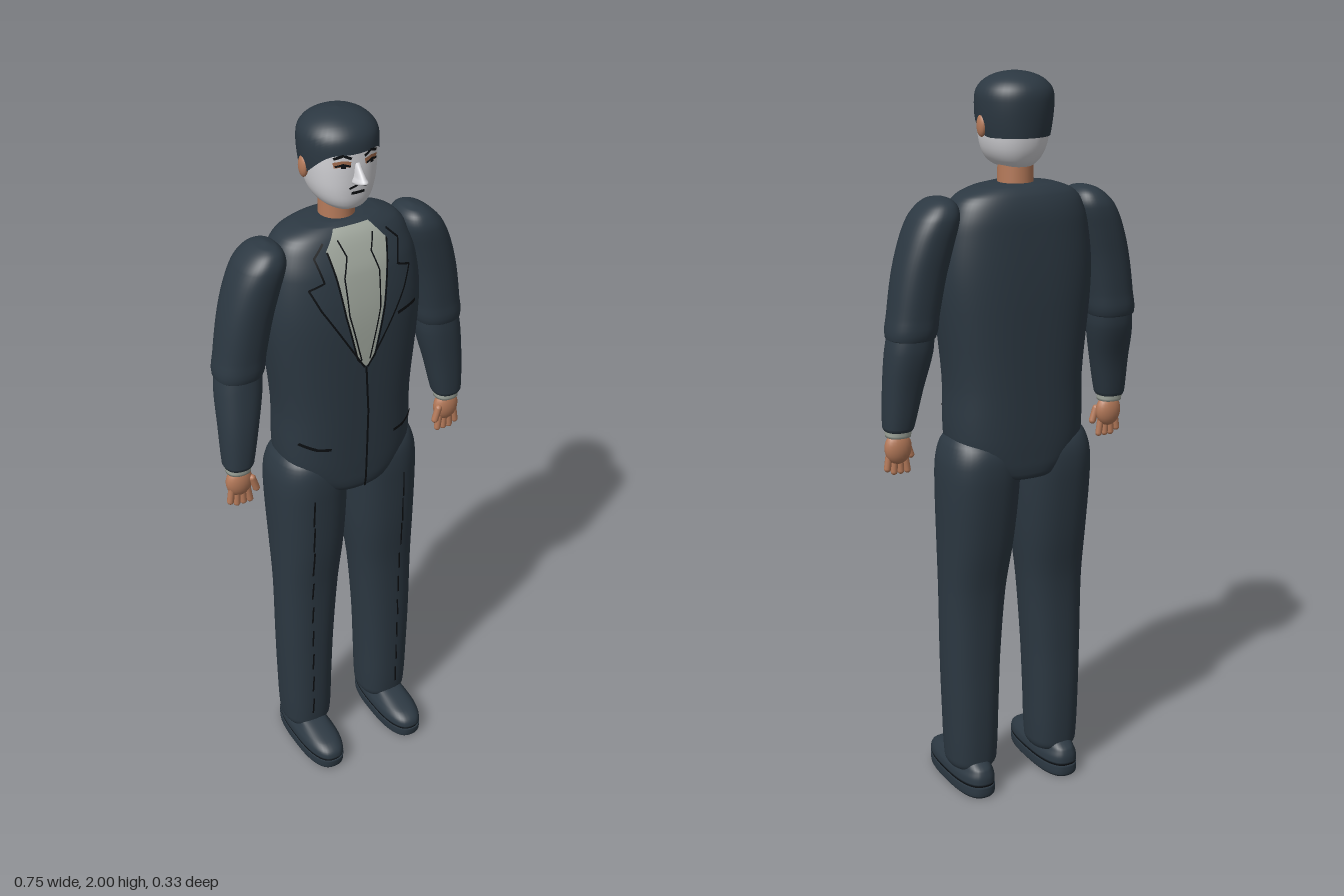
import * as THREE from 'three';

const mat = (name, color, side = THREE.FrontSide) => {
  const m = new THREE.MeshStandardMaterial({ color, side });
  m.name = name;
  return m;
};

// A body is a list of sections [y, xMin, xMax, zBack, zFront]; this returns a smooth lookup by height.
function profile(secs, n = 2.3) {
  const slope = (i, k) => {
    const a = secs[Math.max(i - 1, 0)], b = secs[Math.min(i + 1, secs.length - 1)];
    return (b[k] - a[k]) / (b[0] - a[0]);
  };
  const at = (y) => {
    let i = 0;
    while (i < secs.length - 2 && y > secs[i + 1][0]) i++;
    const a = secs[i], b = secs[i + 1], h = b[0] - a[0];
    const t = THREE.MathUtils.clamp((y - a[0]) / h, 0, 1), t2 = t * t, t3 = t2 * t;
    const v = [1, 2, 3, 4].map((k) => (2 * t3 - 3 * t2 + 1) * a[k] + (3 * t2 - 2 * t3) * b[k]
      + h * ((t3 - 2 * t2 + t) * slope(i, k) + (t3 - t2) * slope(i + 1, k)));
    return { cx: (v[0] + v[1]) / 2, rx: Math.max((v[1] - v[0]) / 2, 0.001), cz: (v[2] + v[3]) / 2, rz: Math.max((v[3] - v[2]) / 2, 0.001) };
  };
  const pow = (c) => Math.sign(c) * Math.abs(c) ** (2 / n);
  const point = (a, y) => {
    const s = at(y);
    return [s.cx + s.rx * pow(Math.sin(a)), y, s.cz + s.rz * pow(Math.cos(a))];
  };
  const front = (x, y) => {
    const s = at(y), d = Math.min(Math.abs((x - s.cx) / s.rx), 1);
    return s.cz + s.rz * (1 - d ** n) ** (1 / n);
  };
  return { secs, point, front };
}

// Closed skin around a profile; floor(angle) can raise the lower edge.
function loft(p, floor = null, seg = 40, sub = 4) {
  const pos = [], idx = [], ys = [], S = p.secs;
  for (let i = 0; i < S.length - 1; i++)
    for (let k = 0; k < sub; k++) ys.push(S[i][0] + (S[i + 1][0] - S[i][0]) * k / sub);
  const y0 = S[0][0], y1 = S[S.length - 1][0];
  ys.push(y1);
  ys.forEach((y, r) => {
    for (let j = 0; j < seg; j++) {
      const a = j / seg * Math.PI * 2;
      const f = floor ? floor(a) : y0;
      pos.push(...p.point(a, f + (y - y0) / (y1 - y0) * (y1 - f)));
      if (r) {
        const A = (r - 1) * seg + j, B = (r - 1) * seg + (j + 1) % seg;
        idx.push(A, B, B + seg, A, B + seg, A + seg);
      }
    }
  });
  const last = (ys.length - 1) * seg, c = pos.length / 3;
  const mid = (y) => [0, 1, 2].map((k) => (p.point(Math.PI / 4, y)[k] + p.point(Math.PI * 5 / 4, y)[k]) / 2);
  pos.push(...mid(y0), ...mid(y1));
  for (let j = 0; j < seg; j++) {
    const k = (j + 1) % seg;
    if (!floor) idx.push(c, k, j);
    idx.push(c + 1, last + j, last + k);
  }
  return build(pos, idx);
}

function build(pos, idx) {
  const g = new THREE.BufferGeometry();
  g.setAttribute('position', new THREE.Float32BufferAttribute(pos, 3));
  g.setIndex(idx);
  g.computeVertexNormals();
  return g;
}

// Grid of points, n across, joined into a sheet.
function sheet(rows) {
  const n = rows[0].length, idx = [];
  for (let r = 0; r < rows.length - 1; r++)
    for (let j = 0; j < n - 1; j++) {
      const a = r * n + j;
      idx.push(a, a + 1, a + n + 1, a, a + n + 1, a + n);
    }
  return build(rows.flat(2), idx);
}

// Thin panel on the front of a body, rows [y, xLeft, xRight] from low to high.
function panel(p, rows, off, s = 1) {
  const out = [];
  for (let i = 0; i < rows.length - 1; i++)
    for (let k = i ? 1 : 0; k <= 6; k++) {
      const [y, l, r] = [0, 1, 2].map((m) => THREE.MathUtils.lerp(rows[i][m], rows[i + 1][m], k / 6));
      out.push(Array.from({ length: 9 }, (_, j) => {
        const x = s * (l + (r - l) * j / 8);
        return [x, y, p.front(x, y) + off];
      }));
    }
  return sheet(s > 0 ? out : out.map((r) => r.reverse()));
}

// Thin painted line on the front of a body, along points [x, y].
function line(p, pts, w, off, s = 1) {
  const rows = [];
  for (let i = 0; i < pts.length - 1; i++) {
    const [ax, ay] = pts[i], [bx, by] = pts[i + 1], L = Math.hypot(bx - ax, by - ay);
    const nx = -(by - ay) / L * w / 2, ny = (bx - ax) / L * w / 2;
    for (let k = 0; k <= 8; k++) {
      const x = ax + (bx - ax) * k / 8, y = ay + (by - ay) * k / 8;
      rows.push([-1, 1].map((e) => [s * (x + e * nx), y + e * ny, p.front(s * (x + e * nx), y + e * ny) + off]));
    }
  }
  return sheet(rows);
}

export function createModel() {
  const suit = mat('suit', 0x2c3842), skin = mat('skin', 0xb57a5a), face = mat('facePaint', 0xd2d2d6);
  const shirt = mat('shirt', 0xa3aaa0, THREE.DoubleSide), ink = mat('ink', 0x0b0e11, THREE.DoubleSide);
  const flap = mat('lapel', 0x2c3842, THREE.DoubleSide), lid = mat('eyelid', 0xa06a4c, THREE.DoubleSide);
  const root = new THREE.Group();
  const add = (name, geo, m, parent = root) => {
    const o = new THREE.Mesh(geo, m);
    o.name = name;
    parent.add(o);
    return o;
  };

  // Jacket body
  const torso = profile([
    [0.93, -0.07, 0.07, -0.12, 0.05], [0.938, -0.1, 0.1, -0.15, 0.07], [0.96, -0.14, 0.14, -0.16, 0.08],
    [1.0, -0.178, 0.178, -0.163, 0.083], [1.06, -0.192, 0.192, -0.165, 0.085], [1.2, -0.192, 0.192, -0.166, 0.088],
    [1.4, -0.213, 0.213, -0.168, 0.09], [1.5, -0.217, 0.217, -0.166, 0.086], [1.6, -0.205, 0.205, -0.16, 0.07],
    [1.65, -0.19, 0.19, -0.154, 0.053], [1.69, -0.165, 0.165, -0.14, 0.033], [1.712, -0.115, 0.115, -0.122, 0.014],
    [1.72, -0.06, 0.06, -0.105, 0.0]], 2.6);
  add('jacket', loft(torso, null, 64), suit);
  add('shirtFront', panel(torso, [[1.34, -0.006, 0.006], [1.37, -0.026, 0.026], [1.5, -0.056, 0.056],
    [1.6, -0.072, 0.072], [1.67, -0.085, 0.085], [1.712, -0.05, 0.05]], 0.005), shirt);
  add('frontSeam', line(torso, [[0.005, 0.95], [0.008, 1.2], [0.0, 1.34]], 0.006, 0.01), ink);
  add('breastPocket', line(torso, [[0.1, 1.465], [0.165, 1.475]], 0.009, 0.005), ink);
  for (const s of [-1, 1]) {
    add('lapel', panel(torso, [[1.34, 0.004, 0.01], [1.37, 0.024, 0.03], [1.53, 0.06, 0.12], [1.58, 0.068, 0.145],
      [1.6, 0.072, 0.112], [1.67, 0.085, 0.12]], 0.008, s), flap);
    add('lapelEdge', line(torso, [[0.005, 1.34], [0.12, 1.53], [0.145, 1.585], [0.105, 1.6], [0.12, 1.66], [0.09, 1.69]], 0.005, 0.01, s), ink);
    add('shirtEdge', line(torso, [[0.003, 1.34], [0.026, 1.37], [0.056, 1.5], [0.072, 1.6], [0.085, 1.67]], 0.005, 0.01, s), ink);
    add('shirtFold', line(torso, [[0.012, 1.36], [0.045, 1.5], [0.05, 1.6], [0.035, 1.65], [0.05, 1.69]], 0.004, 0.007, s), ink);
    add('hipPocket', line(torso, [[0.095, 1.1], [0.13, 1.103], [0.172, 1.12]], 0.009, 0.006, s), ink);
  }

  // Head, hair and neck
  const head = profile([[1.757, -0.03, 0.03, -0.09, 0.0], [1.763, -0.045, 0.045, -0.105, 0.03], [1.78, -0.065, 0.065, -0.12, 0.044],
    [1.81, -0.08, 0.08, -0.132, 0.05], [1.85, -0.088, 0.088, -0.138, 0.052], [1.9, -0.092, 0.092, -0.141, 0.051],
    [1.94, -0.09, 0.09, -0.138, 0.045], [1.97, -0.07, 0.07, -0.12, 0.02], [1.985, -0.03, 0.03, -0.08, -0.02]]);
  add('head', loft(head), face);
  const hair = profile([[1.82, -0.088, 0.088, -0.14, 0.052], [1.87, -0.097, 0.097, -0.147, 0.055], [1.92, -0.101, 0.101, -0.151, 0.055],
    [1.95, -0.098, 0.098, -0.148, 0.05], [1.97, -0.085, 0.085, -0.136, 0.036], [1.985, -0.064, 0.064, -0.115, 0.014],
    [1.995, -0.036, 0.036, -0.086, -0.014], [2.0, -0.003, 0.003, -0.053, -0.047]], 2.1);
  add('hair', loft(hair, (a) => 1.918 - 0.08 * THREE.MathUtils.smoothstep(Math.min(a, Math.PI * 2 - a), 0.5, 1.9)), suit);
  add('neck', new THREE.CylinderGeometry(0.046, 0.048, 0.1, 32), skin).position.set(0, 1.74, -0.055);
  add('nose', loft(profile([[1.838, -0.008, 0.008, 0.03, 0.055], [1.844, -0.016, 0.016, 0.03, 0.075],
    [1.852, -0.015, 0.015, 0.03, 0.094], [1.862, -0.011, 0.011, 0.03, 0.086], [1.893, -0.007, 0.007, 0.03, 0.054]]), null, 16), face);
  for (const s of [-1, 1]) {
    const ear = add('ear', new THREE.SphereGeometry(1, 16, 12), skin);
    ear.scale.set(0.011, 0.029, 0.018);
    ear.position.set(s * 0.095, 1.866, -0.05);
    add('eyebrow', line(head, [[0.018, 1.908], [0.038, 1.918], [0.06, 1.91]], 0.007, 0.004, s), ink);
    add('eyelid', line(head, [[0.02, 1.893], [0.04, 1.897], [0.06, 1.893]], 0.015, 0.003, s), lid);
    add('eye', line(head, [[0.022, 1.89], [0.04, 1.896], [0.058, 1.891]], 0.005, 0.006, s), ink);
    add('pupil', line(head, [[0.034, 1.891], [0.045, 1.891]], 0.01, 0.006, s), ink);
    add('moustache', line(head, [[0.003, 1.837], [0.024, 1.83]], 0.006, 0.004, s), ink);
  }
  add('mouth', line(head, [[-0.018, 1.817], [0.018, 1.817]], 0.008, 0.004), ink);

  for (const s of [-1, 1]) {
    const side = s > 0 ? 'left' : 'right';
    const mirror = (secs) => secs.map(([y, a, b, ...z]) => (s > 0 ? [y, a, b, ...z] : [y, -b, -a, ...z]));

    // Arm, with the right forearm carried a little further forward
    const fwd = s > 0 ? 0 : 0.034;
    const arm = new THREE.Group();
    arm.name = side + 'Arm';
    root.add(arm);
    add('upperSleeve', loft(profile(mirror([[1.33, 0.255, 0.345, -0.085, 0.0], [1.34, 0.235, 0.364, -0.106, 0.02],
      [1.4, 0.224, 0.358, -0.11, 0.024], [1.5, 0.204, 0.342, -0.115, 0.03], [1.58, 0.182, 0.32, -0.12, 0.035],
      [1.64, 0.166, 0.293, -0.12, 0.036], [1.67, 0.17, 0.267, -0.108, 0.026], [1.688, 0.185, 0.24, -0.085, 0.005],
      [1.695, 0.205, 0.215, -0.05, -0.03]]))), suit, arm);
    add('lowerSleeve', loft(profile(mirror([[1.09, 0.296, 0.37, -0.066 + fwd, 0.008 + fwd], [1.1, 0.291, 0.374, -0.07 + fwd, 0.012 + fwd],
      [1.2, 0.267, 0.373, -0.083 + fwd * 0.7, 0.016 + fwd * 0.7], [1.3, 0.242, 0.367, -0.1 + fwd * 0.2, 0.018 + fwd * 0.2],
      [1.36, 0.238, 0.356, -0.1, 0.015]]))), suit, arm);
    add('cuff', loft(profile(mirror([[1.073, 0.3, 0.367, -0.06 + fwd, 0.003 + fwd], [1.1, 0.298, 0.369, -0.063 + fwd, 0.005 + fwd]]))), shirt, arm);

    // Hand
    const hand = new THREE.Group();
    hand.name = side + 'Hand';
    hand.position.set(s * 0.333, 1.04, -0.026 + fwd);
    root.add(hand);
    const palm = add('palm', new THREE.SphereGeometry(1, 20, 14), skin, hand);
    palm.scale.set(0.038, 0.045, 0.024);
    for (let i = 0; i < 4; i++) {
      const f = add('finger', new THREE.CapsuleGeometry(0.0095, 0.042, 4, 10), skin, hand);
      f.position.set(s * (-0.024 + i * 0.017), -0.045 + (i === 3 ? 0.01 : 0), 0.004);
      f.rotation.z = s * (i - 1.5) * 0.1;
    }
    const thumb = add('thumb', new THREE.CapsuleGeometry(0.01, 0.036, 4, 10), skin, hand);
    thumb.position.set(-s * 0.037, -0.012, 0.014);
    thumb.rotation.z = -s * 0.3;

    // Trouser leg with front crease
    const leg = profile(mirror([[0.068, 0.085, 0.175, -0.08, 0.015], [0.075, 0.068, 0.192, -0.098, 0.033], [0.1, 0.059, 0.2, -0.105, 0.042],
      [0.25, 0.053, 0.206, -0.109, 0.047], [0.4, 0.046, 0.21, -0.108, 0.049], [0.6, 0.03, 0.212, -0.113, 0.053],
      [0.75, 0.012, 0.215, -0.137, 0.065], [0.9, 0.001, 0.219, -0.155, 0.07], [0.98, 0.0, 0.217, -0.158, 0.07],
      [1.03, 0.01, 0.204, -0.145, 0.06], [1.06, 0.06, 0.185, -0.11, 0.03]]), 2.4);
    add(side + 'TrouserLeg', loft(leg), suit);
    for (let i = 0; i < 9; i++) {
      const y = 0.13 + i * 0.09;
      add('crease', line(leg, [[0.143, y], [0.14, y + (i > 5 ? 0.085 : 0.06)]], 0.005, 0.003, s), ink);
    }

    // Shoe
    const shoe = (name, secs, m) => add(side + name, loft(profile(mirror(secs), 2.6)), m);
    shoe('Sole', [[0.0, 0.082, 0.185, -0.132, 0.155], [0.008, 0.076, 0.191, -0.138, 0.163], [0.036, 0.076, 0.191, -0.138, 0.166]], suit);
    shoe('Welt', [[0.034, 0.077, 0.19, -0.137, 0.164], [0.043, 0.077, 0.19, -0.137, 0.164]], ink);
    shoe('ShoeUpper', [[0.041, 0.076, 0.191, -0.138, 0.166], [0.06, 0.078, 0.189, -0.137, 0.16], [0.075, 0.085, 0.182, -0.132, 0.138],
      [0.085, 0.09, 0.177, -0.125, 0.1], [0.1, 0.095, 0.172, -0.1, 0.03]], suit);
  }
  return root;
}
